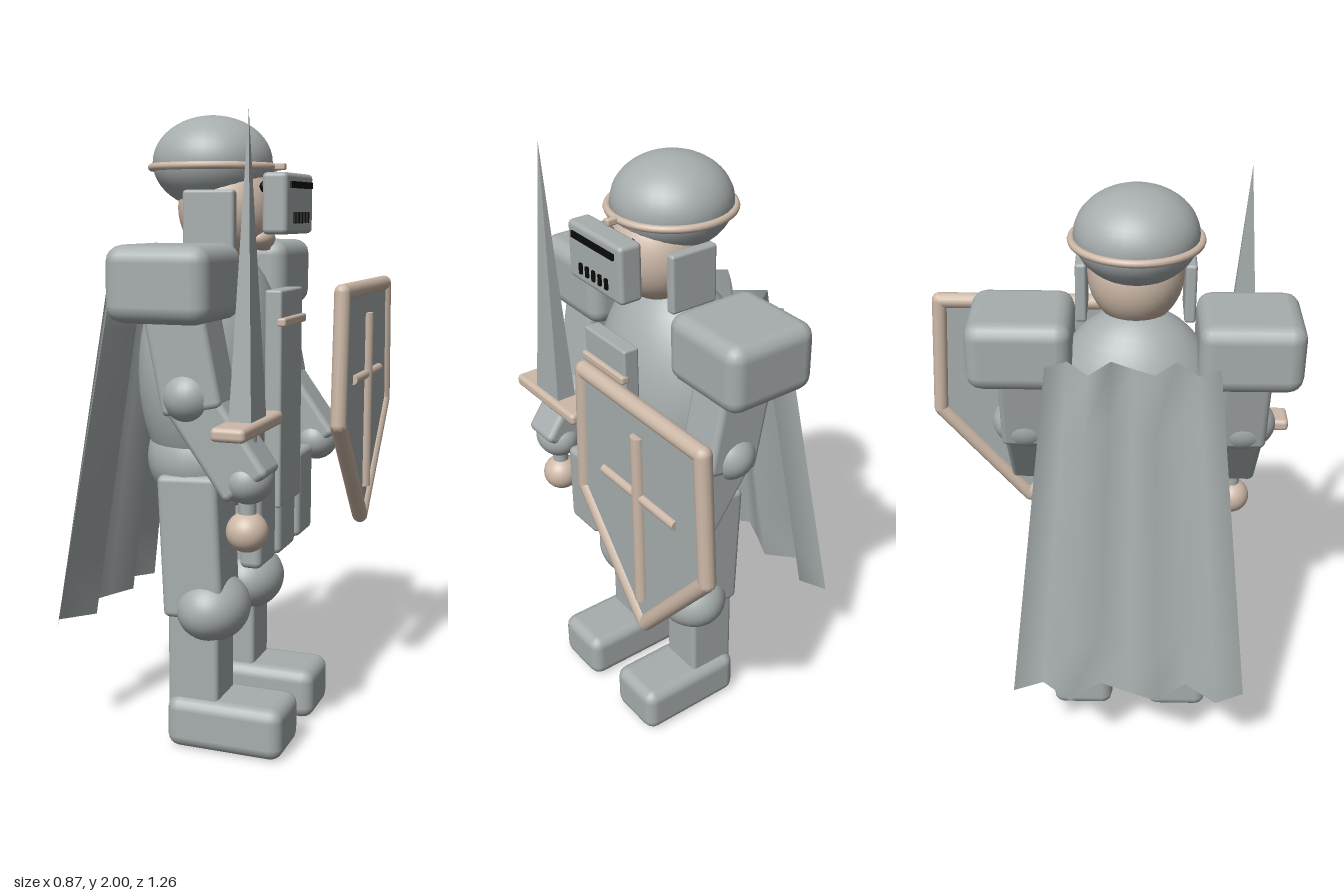
import * as THREE from 'three';
import { RoundedBoxGeometry } from 'three/addons/geometries/RoundedBoxGeometry.js';

const material = (name, color, extra = {}) =>
  Object.assign(new THREE.MeshStandardMaterial({ color, ...extra }), { name });

export function createModel() {
  const steel = material('steel', 0xa7adae);
  const steelCloth = material('steelCloth', 0xa7adae, { side: THREE.DoubleSide });
  const tan = material('tan', 0xcdb9a8);
  const black = material('black', 0x0c0c0c);

  const root = new THREE.Group();
  root.name = 'knight';
  const ZC = 0.093; // centre plane of the body

  const add = (name, geometry, mat, x, y, z, tilt = 0) => {
    const mesh = new THREE.Mesh(geometry, mat);
    mesh.name = name;
    mesh.position.set(x, y, z);
    mesh.rotation.z = tilt;
    root.add(mesh);
    return mesh;
  };
  const box = (name, mat, size, pos, radius = 0.02, tilt = 0) =>
    add(name, new RoundedBoxGeometry(...size, 2, radius), mat, ...pos, tilt);
  const ball = (name, mat, radii, pos) =>
    add(name, new THREE.SphereGeometry(1, 32, 24).scale(...radii), mat, ...pos);
  // round bar between two points
  const bar = (name, mat, a, b, radius) => {
    const d = b.clone().sub(a);
    const mesh = add(name, new THREE.CylinderGeometry(radius, radius, d.length(), 12), mat,
      ...a.clone().add(b).multiplyScalar(0.5).toArray());
    mesh.quaternion.setFromUnitVectors(new THREE.Vector3(0, 1, 0), d.normalize());
  };

  // torso and hips
  ball('torso', steel, [0.23, 0.42, 0.295], [0, 1.2, ZC]);
  ball('hips', steel, [0.205, 0.19, 0.262], [0, 0.925, ZC]);
  box('tabard', steel, [0.055, 0.685, 0.22], [0.24, 1.123, ZC], 0.008);
  box('tabardBand', tan, [0.03, 0.028, 0.225], [0.266, 1.367, ZC], 0.008);
  box('centreTasset', steel, [0.07, 0.28, 0.17], [0.225, 0.76, ZC], 0.02);

  // head and helmet
  ball('head', tan, [0.158, 0.165, 0.15], [0.05, 1.715, ZC]);
  ball('chin', tan, [0.04, 0.035, 0.06], [0.165, 1.62, ZC]);
  ball('helmetDome', steel, [0.19, 0.145, 0.19], [0, 1.855, ZC]);
  const brim = add('helmetBrim', new THREE.TorusGeometry(0.196, 0.012, 10, 48), tan, 0.003, 1.84, ZC);
  brim.rotation.x = Math.PI / 2;
  box('brimPeg', tan, [0.04, 0.022, 0.022], [0.222, 1.84, ZC], 0.006);
  box('visor', steel, [0.08, 0.185, 0.28], [0.25, 1.727, ZC], 0.015);
  add('visorEyeSlot', new THREE.BoxGeometry(0.009, 0.02, 0.22), black, 0.2925, 1.783, ZC);
  for (let i = -2; i <= 2; i++) {
    add('visorBreath', new THREE.BoxGeometry(0.009, 0.034, 0.013), black, 0.2925, 1.684, ZC + i * 0.034);
  }

  // paired parts
  for (const s of [1, -1]) {
    const at = (x, y, offset) => [x, y, ZC + s * offset];
    ball('eye', black, [0.016, 0.018, 0.018], at(0.192, 1.778, 0.055));
    box('cheekPlate', steel, [0.167, 0.19, 0.035], at(0.053, 1.673, 0.167), 0.01);

    box('pauldron', steel, [0.32, 0.225, 0.33], at(0.016, 1.497, 0.358), 0.05);
    box('upperArm', steel, [0.19, 0.42, 0.16], at(0.055, 1.33, 0.356), 0.02, 0.2);
    ball('elbow', steel, [0.09, 0.09, 0.112], at(0.075, 1.168, 0.358));
    box('forearm', steel, [0.165, 0.34, 0.14], at(0.165, 1.045, 0.358), 0.02, 0.62);
    ball('hand', steel, [0.073, 0.073, 0.085], at(0.25, 0.925, 0.356));

    box('tasset', steel, [0.07, 0.295, 0.158], at(0.225, 0.772, 0.2), 0.02);
    box('thigh', steel, [0.2, 0.46, 0.185], at(0.018, 0.665, 0.174), 0.02, 0.045);
    ball('knee', steel, [0.118, 0.11, 0.14], at(0.067, 0.458, 0.174));
    box('shin', steel, [0.17, 0.37, 0.158], at(0.025, 0.31, 0.174), 0.015);
    box('foot', steel, [0.387, 0.168, 0.217], at(0.133, 0.086, 0.174), 0.04);
  }

  // sword
  const SX = 0.245, SZ = 0.449;
  const blade = new THREE.ConeGeometry(Math.SQRT1_2, 0.9, 4, 1).rotateY(Math.PI / 4)
    .scale(0.07, 1, 0.14).toNonIndexed();
  blade.computeVertexNormals();
  add('swordBlade', blade, steel, SX, 1.535, SZ);
  box('swordGuard', tan, [0.105, 0.042, 0.36], [SX, 1.085, SZ - 0.002], 0.015);
  add('swordGrip', new THREE.CylinderGeometry(0.027, 0.027, 0.3, 16), steel, SX, 0.94, SZ);
  ball('swordPommel', tan, [0.064, 0.062, 0.064], [SX, 0.766, SZ]);

  // shield: plate, rounded rim and cross
  const SHZ = -0.293;
  const outline = [[0.288, 1.45], [0.312, 1.025], [0, 0.655], [-0.312, 1.025], [-0.288, 1.45]];
  const shape = new THREE.Shape(outline.map(([z, y]) => new THREE.Vector2(-z, y)));
  const plate = new THREE.ExtrudeGeometry(shape, { depth: 0.02, bevelEnabled: false }).rotateY(Math.PI / 2);
  add('shieldPlate', plate, steel, 0.395, 0, SHZ);
  const corners = outline.map(([z, y]) => new THREE.Vector3(0.403, y, SHZ + z));
  corners.forEach((c, i) => {
    bar('shieldRim', tan, c, corners[(i + 1) % corners.length], 0.027);
    add('shieldRimCorner', new THREE.SphereGeometry(0.027, 12, 8), tan, c.x, c.y, c.z);
  });
  const P = (y, z) => new THREE.Vector3(0.415, y, SHZ + z);
  bar('shieldCrossUpright', tan, P(0.762, 0), P(1.365, 0), 0.022);
  bar('shieldCrossArm', tan, P(1.155, -0.182), P(1.155, 0.182), 0.016);

  // pleated cape, flaring towards the hem
  const folds = [0, 0.042, -0.045, 0.045, 0, -0.04, 0.045, -0.045, 0];
  const cape = new THREE.PlaneGeometry(1, 1, folds.length - 1, 6);
  const p = cape.attributes.position;
  for (let i = 0; i < p.count; i++) {
    const u = p.getX(i) + 0.5, t = 0.5 - p.getY(i);
    const fold = folds[Math.round(u * (folds.length - 1))];
    p.setXYZ(i, -0.23 - 0.16 * t + fold, 1.525 - 1.14 * t,
      0.087 + (u - 0.5) * (0.525 + 0.245 * t));
  }
  cape.computeVertexNormals();
  add('cape', cape, steelCloth, 0, 0, 0);

  return root;
}
